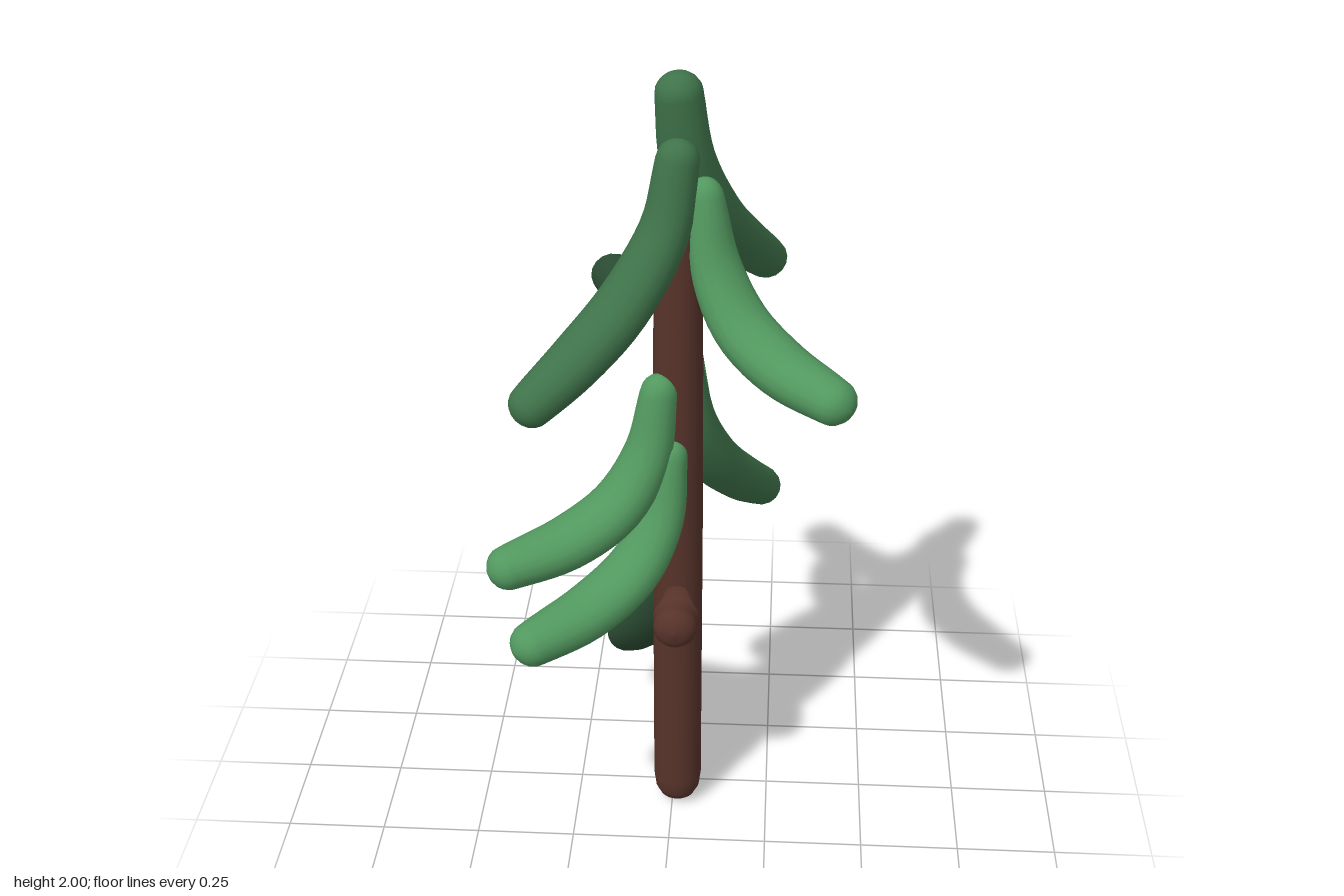
import * as THREE from 'three';

const V = (x, y, z) => new THREE.Vector3(x, y, z);

// Branch sweep shapes: [fraction outward, fraction of drop]
const DROOP = [[0, 0], [0.09, 0.31], [0.37, 0.62], [0.7, 0.84], [1, 1]];
const CURL = [[0, 0], [0.08, 0.42], [0.28, 0.74], [0.6, 0.92], [1, 1]];

// Half-thickness along a branch: r0 at the root, fullest past the middle, blunt at the tip
function girth(t, r0, full, tip) {
  const peak = 0.62;
  return t < peak
    ? THREE.MathUtils.lerp(r0, full, Math.sin((t / peak) * Math.PI / 2))
    : THREE.MathUtils.lerp(full, tip, ((t - peak) / (1 - peak)) ** 2);
}

// Rounded sausage with an oval section, swept along a hanging curve
function branchGeometry(start, end, shape, r0) {
  const curve = new THREE.CatmullRomCurve3(shape.map(([s, d]) => V(
    THREE.MathUtils.lerp(start.x, end.x, s),
    THREE.MathUtils.lerp(start.y, end.y, d),
    THREE.MathUtils.lerp(start.z, end.z, s))));
  const out = V(end.x - start.x, 0, end.z - start.z).normalize();
  const side = V(0, 1, 0).cross(out);

  // Rings from root cap through body to tip cap: [t, offset along tangent, scale]
  const rings = [];
  const cap = 5, body = 20;
  for (let i = 0; i < cap; i++) {
    const a = (i / cap) * Math.PI / 2;
    rings.push([0, -Math.cos(a), Math.sin(a)]);
  }
  for (let i = 0; i <= body; i++) rings.push([i / body, 0, 1]);
  for (let i = 1; i <= cap; i++) {
    const a = (i / cap) * Math.PI / 2;
    rings.push([1, Math.sin(a), Math.cos(a)]);
  }

  const n = 16, pos = [], index = [];
  rings.forEach(([t, off, scale], i) => {
    const p = curve.getPointAt(t), tan = curve.getTangentAt(t);
    const up = tan.clone().cross(side).normalize();
    const k = Math.max(scale, 0.001);
    const thick = girth(t, r0, 0.063, 0.053) * k;
    const wide = girth(t, r0, 0.078, 0.058) * k;
    p.addScaledVector(tan, off * 0.05);
    for (let j = 0; j < n; j++) {
      const a = (j / n) * Math.PI * 2;
      const q = p.clone()
        .addScaledVector(side, Math.cos(a) * wide)
        .addScaledVector(up, Math.sin(a) * thick);
      pos.push(q.x, q.y, q.z);
      if (i > 0) {
        const j2 = (j + 1) % n, a0 = (i - 1) * n, b0 = i * n;
        index.push(a0 + j, b0 + j2, b0 + j, a0 + j, a0 + j2, b0 + j2);
      }
    }
  });
  const g = new THREE.BufferGeometry();
  g.setAttribute('position', new THREE.Float32BufferAttribute(pos, 3));
  g.setIndex(index);
  g.computeVertexNormals();
  return g;
}

// Smooth lathe from a few profile points
function lathe(points, segments) {
  return new THREE.LatheGeometry(points.map(([r, y]) => new THREE.Vector2(r, y)), segments);
}

export function createModel() {
  const tree = new THREE.Group();
  tree.name = 'tree';
  const mat = (color) => new THREE.MeshStandardMaterial({ color });
  const bark = mat(0x57332a);
  const light = mat(0x52985f), mid = mat(0x3f734a), dark = mat(0x2c4d34);

  const add = (name, geometry, material) => {
    const mesh = new THREE.Mesh(geometry, material);
    mesh.name = name;
    tree.add(mesh);
    return mesh;
  };

  // Trunk: rounded log, slightly slimmer at the top
  const trunk = add('trunk', lathe([
    [0, 0], [0.025, 0.005], [0.045, 0.019], [0.057, 0.042], [0.062, 0.08],
    [0.062, 0.5], [0.062, 0.9], [0.06, 1.3], [0.055, 1.6],
    [0.047, 1.7], [0.036, 1.74], [0.02, 1.757], [0, 1.76],
  ], 24), bark);
  trunk.position.set(0.013, 0, 0.067);

  // Cut-off limb, its root flaring up and down the trunk but no wider than it
  const stubGeometry = lathe([
    [0.13, 0.04], [0.095, 0.056], [0.072, 0.068], [0.058, 0.082], [0.052, 0.1],
    [0.055, 0.12], [0.053, 0.136], [0.043, 0.152], [0.025, 0.162], [0, 0.166],
  ], 24);
  const p = stubGeometry.attributes.position;
  for (let i = 0; i < p.count; i++) {
    const r = Math.hypot(p.getX(i), p.getZ(i));
    if (r > 0.058) p.setX(i, p.getX(i) * Math.max(0.2, (0.058 / r) ** 2));
  }
  const stub = add('limbStub', stubGeometry, bark);
  stub.rotation.x = Math.PI / 2;
  stub.position.set(0.013, 0.622, 0.065);

  // Branches: name, start, end, shape, start radius, material
  const branches = [
    ['topBackLeftBranch', V(0.012, 1.947, 0.027), V(0.21, 1.415, -0.297), DROOP, 0.056, mid],
    ['topFrontRightBranch', V(0.012, 1.808, 0.08), V(-0.315, 1.277, 0.273), DROOP, 0.051, mid],
    ['topFrontLeftBranch', V(0.077, 1.715, 0.072), V(0.378, 1.338, 0.335), CURL, 0.042, light],
    ['topBackRightBranch', V(-0.01, 1.72, 0.02), V(-0.175, 1.335, -0.347), CURL, 0.043, dark],
    ['middleBackBranch', V(0.016, 1.36, 0.005), V(0.004, 0.987, -0.393), CURL, 0.042, light],
    ['middleBackLeftBranch', V(0.03, 1.245, 0.015), V(0.21, 0.757, -0.297), DROOP, 0.043, mid],
    ['middleFrontRightBranch', V(-0.03, 1.235, 0.115), V(-0.38, 0.858, 0.312), CURL, 0.046, light],
    ['lowerFrontRightBranch', V(0, 1.065, 0.125), V(-0.318, 0.697, 0.395), CURL, 0.04, light],
    ['lowerBackRightBranch', V(0, 0.792, 0), V(-0.147, 0.26, -0.313), DROOP, 0.041, dark],
  ];
  for (const [name, start, end, shape, r0, material] of branches) {
    add(name, branchGeometry(start, end, shape, r0), material);
  }
  return tree;
}
